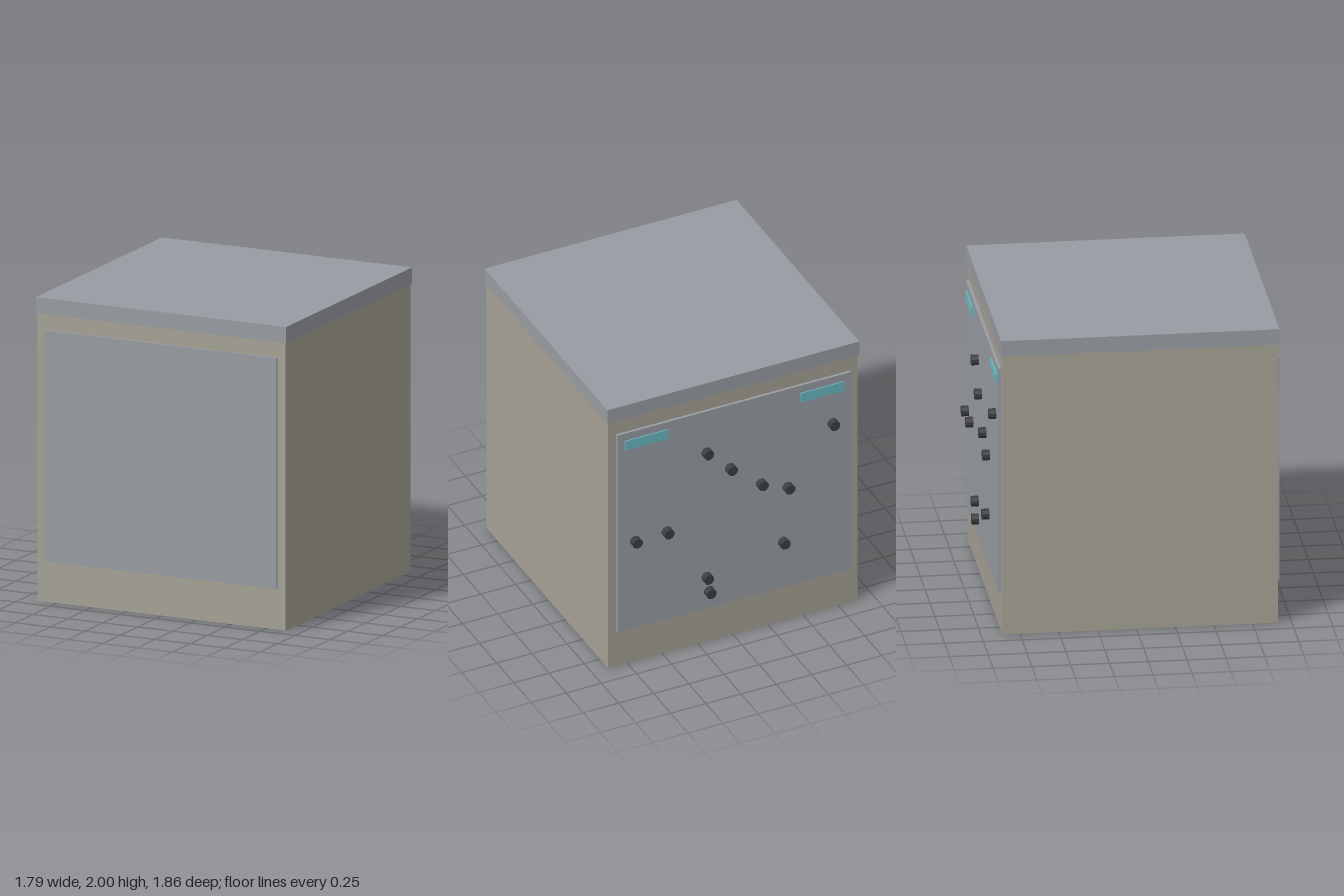
import * as THREE from 'three';

const paint = (color) => new THREE.MeshStandardMaterial({ color });

export function createModel() {
  const group = new THREE.Group();
  const casing = paint(0xa5a195);
  const steel = paint(0x989ca2);
  const teal = paint(0x6bb8c4);
  const dark = paint(0x3c3e42);
  dark.flatShading = true;

  // Box given by its lower and upper limits on each axis
  const box = (name, [x0, x1], [y0, y1], [z0, z1], material) => {
    const mesh = new THREE.Mesh(new THREE.BoxGeometry(x1 - x0, y1 - y0, z1 - z0), material);
    mesh.position.set((x0 + x1) / 2, (y0 + y1) / 2, (z0 + z1) / 2);
    mesh.name = name;
    group.add(mesh);
  };

  // Cabinet with an overhanging lid
  box('cabinet', [-0.887, 0.887], [0, 1.9], [-0.864, 0.911], casing);
  box('lid', [-0.895, 0.895], [1.895, 2], [-0.873, 0.92], steel);

  // Raised panels on both faces
  box('frontPanel', [-0.83, 0.83], [0.27, 1.79], [0.9, 0.927], steel);
  box('backPanel', [-0.83, 0.83], [0.27, 1.79], [-0.883, -0.85], steel);

  // Label plates in the upper corners of the back panel
  box('leftPlate', [0.47, 0.78], [1.665, 1.735], [-0.891, -0.87], teal);
  box('rightPlate', [-0.78, -0.47], [1.665, 1.735], [-0.891, -0.87], teal);

  // Knobs scattered over the back panel
  const knobGeometry = new THREE.CylinderGeometry(0.036, 0.036, 0.05, 10).rotateX(Math.PI / 2);
  const knobs = [
    [0.198, 1.477], [0.03, 1.306], [-0.698, 1.437], [0.705, 0.945], [0.48, 0.95],
    [-0.19, 1.123], [-0.379, 1.04], [0.198, 0.515], [0.18, 0.4], [-0.346, 0.625],
  ];
  knobs.forEach(([x, y], i) => {
    const knob = new THREE.Mesh(knobGeometry, dark);
    knob.position.set(x, y, -0.904);
    knob.name = `knob${i + 1}`;
    group.add(knob);
  });

  return group;
}
